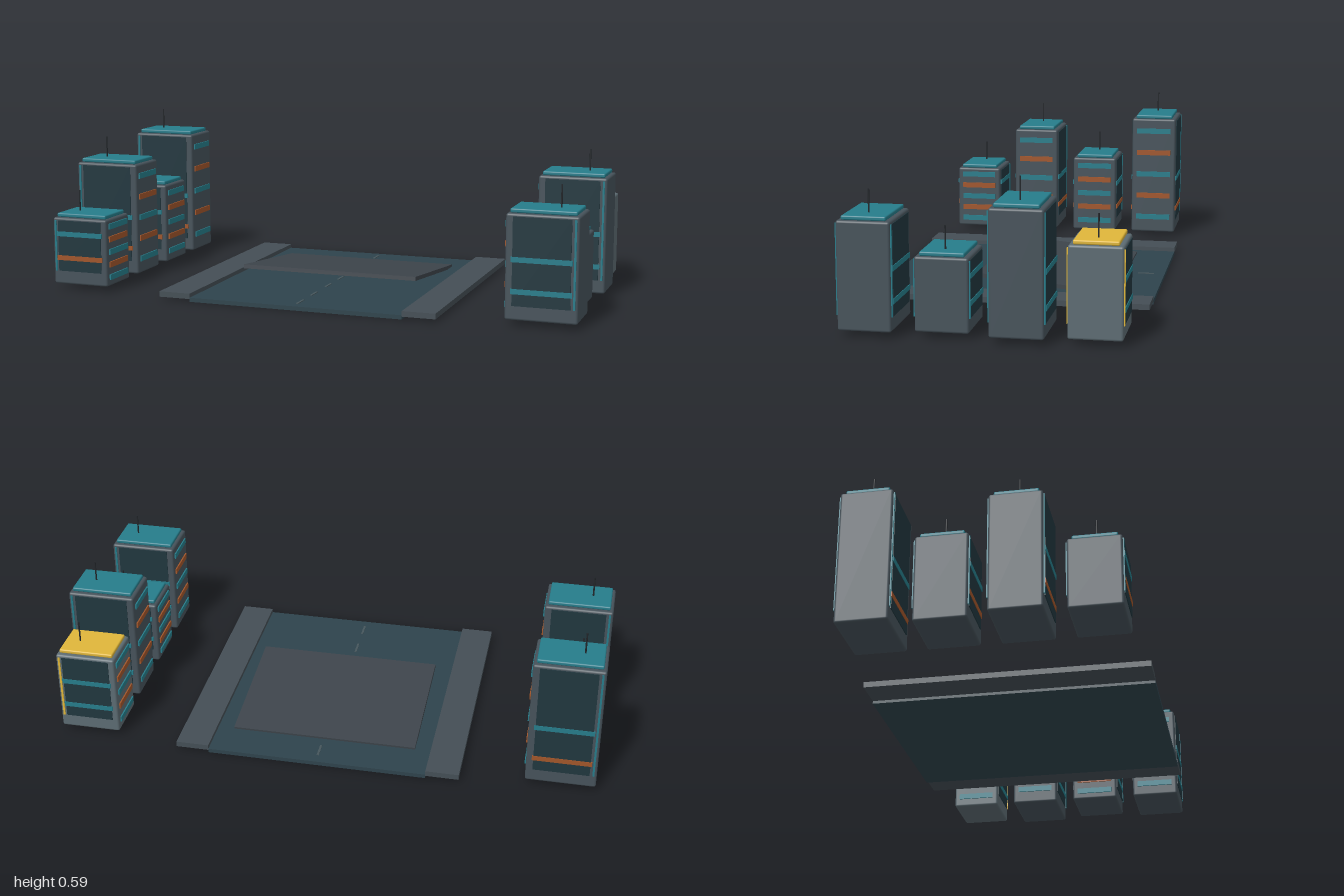
import * as THREE from 'three';
import { RoundedBoxGeometry } from 'three/addons/geometries/RoundedBoxGeometry.js';

const paint = (color) => {
  const m = new THREE.MeshStandardMaterial();
  m.color.set(color);
  return m;
};
const mats = {
  wall: paint(0x46525a), paleWall: paint(0x5c6b72), glass: paint(0x20363e),
  teal: paint(0x267c8a), orange: paint(0xa0552a), yellow: paint(0xdfb63a),
  road: paint(0x2e434c), pavement: paint(0x444e55), ramp: paint(0x3d444b),
  dash: paint(0x46565c), mast: paint(0x22262a),
};

function place(parent, name, geometry, mat, x, y, z) {
  const mesh = new THREE.Mesh(geometry, mats[mat]);
  mesh.name = name;
  mesh.position.set(x, y, z);
  parent.add(mesh);
  return mesh;
}
const box = (parent, name, mat, w, h, d, x, y, z) =>
  place(parent, name, new THREE.BoxGeometry(w, h, d), mat, x, y, z);

// One tower; side is +1 or -1, and its inner face looks towards the road
function createTower(side, width, height, accent) {
  const tower = new THREE.Group();
  const depth = 0.18;
  const wall = accent === 'yellow' ? 'paleWall' : 'wall';
  place(tower, 'towerBody', new RoundedBoxGeometry(width, height, depth, 2, 0.008),
    wall, 0, height / 2, 0);

  // Glass, floor bands and edge trims on the front and back
  const glassHeight = height - 0.06;
  const upperBand = 0.19 + 0.17 * (height - 0.25);
  for (const s of [1, -1]) {
    const z = s * depth / 2;
    box(tower, 'glassPanel', 'glass', width * 0.8, glassHeight, 0.006, 0, 0.05 + glassHeight / 2, z);
    box(tower, 'lowerBand', side < 0 ? 'orange' : 'teal', width * 0.84, 0.018, 0.01, 0, 0.1, z);
    box(tower, 'upperBand', 'teal', width * 0.84, 0.018, 0.01, 0, upperBand, z);
    box(tower, 'edgeTrim', accent, 0.007, glassHeight, 0.008,
      side * (width / 2 - 0.012), 0.05 + glassHeight / 2, z);
  }

  // Alternating bands on the face towards the road
  for (let i = 0; i < 5; i++) {
    box(tower, 'innerBand', i % 2 ? 'orange' : 'teal', 0.01, 0.021, 0.14,
      -side * width / 2, height * (0.895 - 0.19 * i), 0);
  }

  // Roof slab and mast
  place(tower, 'roof', new RoundedBoxGeometry(width * 0.91, 0.015, 0.15, 2, 0.005),
    accent, 0, height + 0.0075, 0);
  place(tower, 'mast', new THREE.CylinderGeometry(0.003, 0.003, 0.08, 8),
    'mast', side * 0.045, height + 0.053, 0);
  return tower;
}

export function createModel() {
  const model = new THREE.Group();
  model.name = 'streetBlock';

  // Road, raised pavements and lane dashes
  box(model, 'road', 'road', 0.8, 0.015, 1, 0, 0.0075, 0);
  for (const s of [1, -1]) {
    box(model, 'pavement', 'pavement', 0.12, 0.02, 1, s * 0.46, 0.02, 0);
  }
  for (const z of [-0.43, -0.29, -0.14, 0, 0.14, 0.29, 0.43]) {
    box(model, 'laneDash', 'dash', 0.008, 0.003, 0.06, 0, 0.016, z);
  }

  // Ramp slab, rising towards the front
  const ramp = box(model, 'ramp', 'ramp', 0.68, 0.015, 0.5, 0, 0.04, -0.107);
  ramp.rotation.x = -0.1;

  // Rows of towers, listed front to back by storey step
  const rows = [
    { side: 1, steps: [2, 0, 3, 1], widths: [0.25, 0.22, 0.25, 0.22] },
    { side: -1, steps: [0, 3, 1, 4], widths: [0.22, 0.25, 0.22, 0.25] },
  ];
  for (const { side, steps, widths } of rows) {
    steps.forEach((step, i) => {
      const accent = side > 0 && i === 3 ? 'yellow' : 'teal';
      const tower = createTower(side, widths[i], 0.25 + 0.0575 * step, accent);
      tower.name = side > 0 ? 'leftTower' : 'rightTower';
      tower.position.set(side * (0.75 + widths[i] / 2), 0.02, 0.375 - 0.25 * i);
      model.add(tower);
    });
  }
  return model;
}
